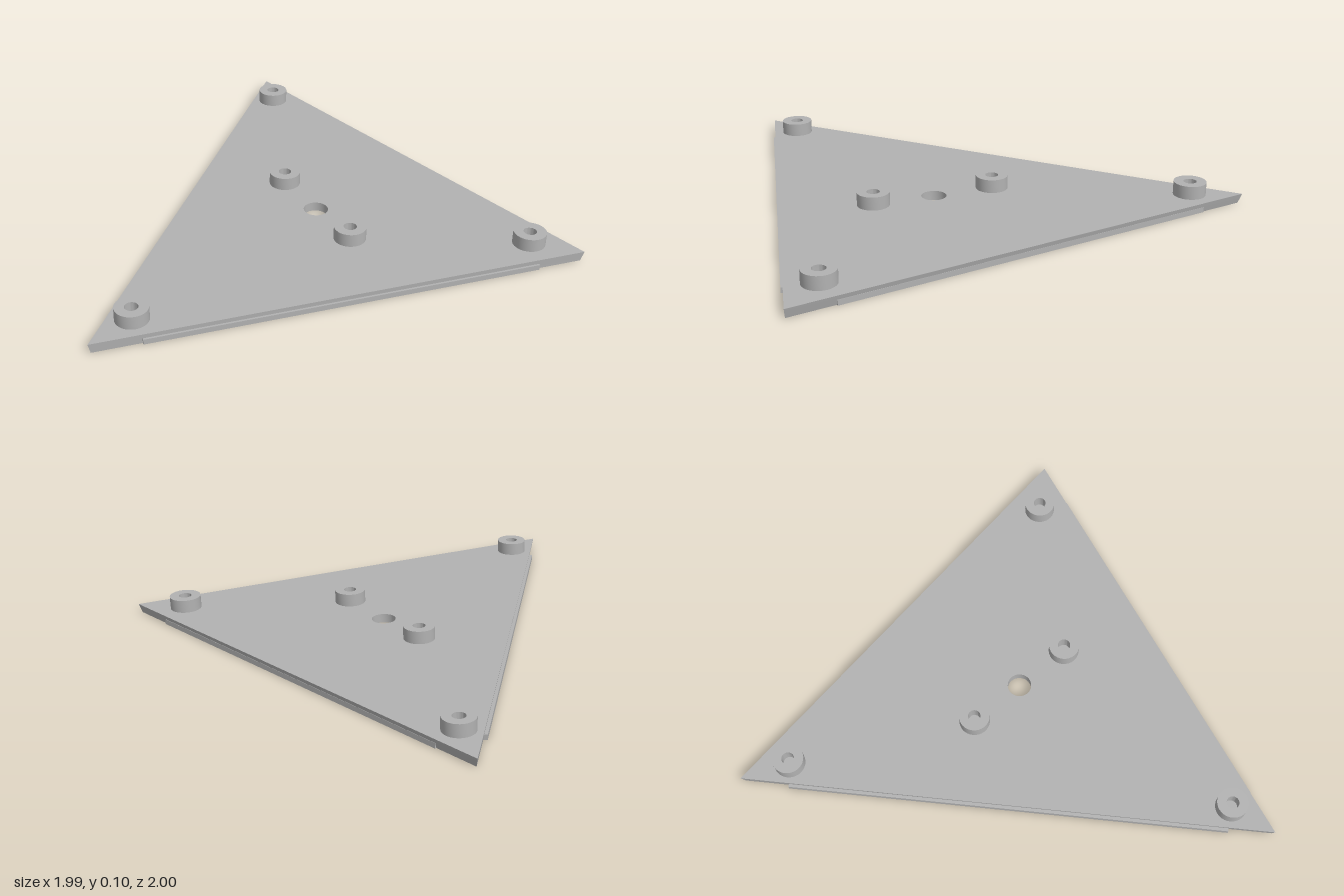
import * as THREE from 'three';
import { toCreasedNormals } from 'three/addons/utils/BufferGeometryUtils.js';

const PLATE = 0.04;      // plate thickness
const LIP = 0.022;       // height of the edge lips
const BOSS_TOP = 0.096;

// Plan corners as (x, z), and matching corners of the slightly smaller underside
const corners = [[-0.997, 0.605], [0.993, 1.0], [0.637, -1.0]].map(p => new THREE.Vector2(...p));
const under = [[-0.987, 0.605], [0.981, 0.995], [0.63, -0.986]].map(p => new THREE.Vector2(...p));

// Upright extrusion of a plan outline given in (x, z)
function prism(points, height, holes = []) {
  const shape = new THREE.Shape(points.map(p => new THREE.Vector2(p.x, -p.y)));
  for (const [x, z, r] of holes) {
    shape.holes.push(new THREE.Path().absarc(x, -z, r, 0, Math.PI * 2, true));
  }
  const geo = new THREE.ExtrudeGeometry(shape, { depth: height, bevelEnabled: false, curveSegments: 20 });
  return geo.rotateX(-Math.PI / 2);
}

export function createModel() {
  const model = new THREE.Group();
  model.name = 'triangularPanel';
  const grey = new THREE.MeshStandardMaterial({ color: 0xb2b2b2 });
  grey.name = 'grey';

  const add = (name, geo) => {
    const mesh = new THREE.Mesh(geo, grey);
    mesh.name = name;
    model.add(mesh);
    return mesh;
  };

  // Triangular plate with a through hole; bottom corners pulled in for bevelled edges
  const plate = prism(corners, PLATE, [[0.21, 0.2, 0.052]]);
  const pos = plate.attributes.position;
  const v = new THREE.Vector2();
  for (let i = 0; i < pos.count; i++) {
    if (pos.getY(i) > PLATE / 2) continue;
    v.set(pos.getX(i), pos.getZ(i));
    const k = corners.findIndex(c => c.distanceTo(v) < 0.001);
    if (k >= 0) pos.setXYZ(i, under[k].x, 0, under[k].y);
  }
  add('plate', toCreasedNormals(plate, 0.6));

  // Thin lips along the lower edges: start corner, end corner, span, outward reach
  const lips = [
    ['frontLip', 0, 1, 0.1, 0.9, 0.008],
    ['leftLip', 1, 2, 0.097, 0.9, -0.003],
    ['backLip', 2, 0, 0.09, 0.915, 0.011],
  ];
  for (const [name, a, b, t0, t1, reach] of lips) {
    const dir = corners[b].clone().sub(corners[a]).normalize();
    const out = new THREE.Vector2(-dir.y, dir.x);
    const at = (t, d) => corners[a].clone().lerp(corners[b], t).addScaledVector(out, d);
    add(name, prism([at(t0, reach), at(t1, reach), at(t1, -0.02), at(t0, -0.02)], LIP));
  }

  // Round bosses with blind holes
  const profile = [[0.027, PLATE], [0.067, PLATE], [0.067, BOSS_TOP], [0.027, BOSS_TOP], [0.027, PLATE]]
    .map(p => new THREE.Vector2(...p));
  const boss = toCreasedNormals(new THREE.LatheGeometry(profile, 32), 0.6);
  const bosses = [[0.56, -0.795], [0.205, -0.058], [0.215, 0.46], [-0.793, 0.538], [0.838, 0.84]];
  for (const [x, z] of bosses) add('boss', boss).position.set(x, 0, z);

  return model;
}
